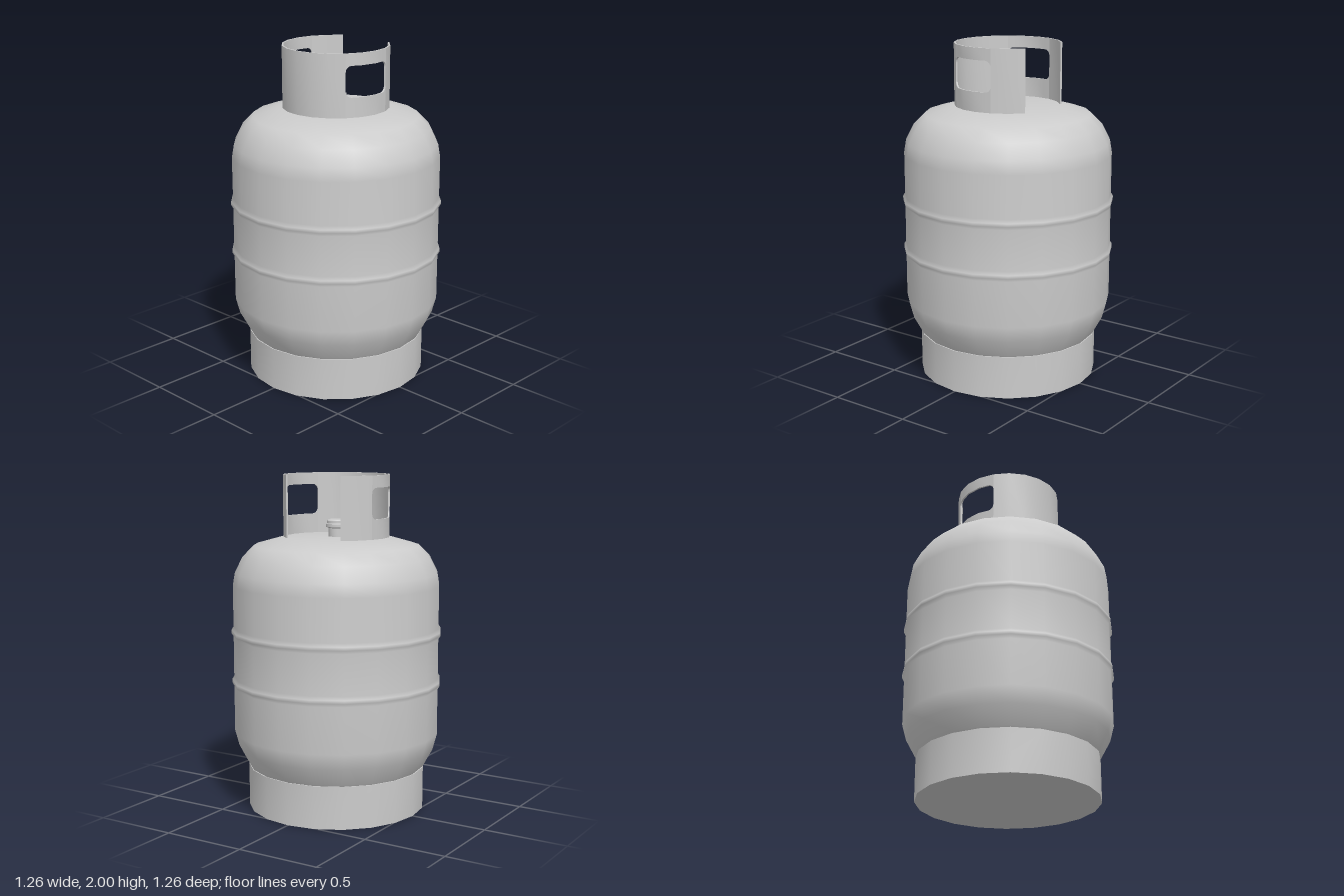
import * as THREE from 'three';
import { toCreasedNormals } from 'three/addons/utils/BufferGeometryUtils.js';

const SIDES = 20;
const STEP = 360 / SIDES;
const material = new THREE.MeshStandardMaterial({ color: 0xcccccc });

function addMesh(parent, name, geometry) {
  const mesh = new THREE.Mesh(geometry, material);
  mesh.name = name;
  parent.add(mesh);
  return mesh;
}

function lathe(points, sides) {
  return new THREE.LatheGeometry(points.map(([r, y]) => new THREE.Vector2(r, y)), sides);
}

// Point on a faceted ring: the radius shrinks between polygon corners
function ringPoint(deg, radius, y) {
  const half = THREE.MathUtils.degToRad(STEP / 2);
  const local = THREE.MathUtils.degToRad(((deg % STEP) + STEP) % STEP) - half;
  const r = radius * Math.cos(half) / Math.cos(local);
  const a = THREE.MathUtils.degToRad(deg);
  return [r * Math.cos(a), y, r * Math.sin(a)];
}

// Curved band with a rectangular section; each column is [angle, low, high]
function band(columns, inner, outer) {
  const positions = [];
  const index = [];
  columns.forEach(([deg, low, high]) => {
    positions.push(...ringPoint(deg, outer, low), ...ringPoint(deg, outer, high),
      ...ringPoint(deg, inner, high), ...ringPoint(deg, inner, low));
  });
  for (let i = 0; i < columns.length - 1; i++) {
    for (let k = 0; k < 4; k++) {
      const a = i * 4 + k, b = i * 4 + (k + 1) % 4;
      index.push(a, b, b + 4, a, b + 4, a + 4);
    }
  }
  const e = (columns.length - 1) * 4;
  index.push(0, 2, 1, 0, 3, 2, e, e + 1, e + 2, e, e + 2, e + 3);
  const geometry = new THREE.BufferGeometry();
  geometry.setAttribute('position', new THREE.Float32BufferAttribute(positions, 3));
  geometry.setIndex(index);
  return toCreasedNormals(geometry, 0.6);
}

export function createModel() {
  const group = new THREE.Group();

  // Tank with domed top and two raised seams
  const seam = (y) => [[0.617, y - 0.03], [0.629, y - 0.01], [0.629, y + 0.01], [0.617, y + 0.03]];
  addMesh(group, 'tank', lathe([
    [0.515, 0.24], [0.535, 0.265], [0.592, 0.37], [0.617, 0.465],
    ...seam(0.77), ...seam(1.07),
    [0.617, 1.35], [0.604, 1.425], [0.558, 1.517], [0.49, 1.586], [0.315, 1.635], [0, 1.635],
  ], SIDES));

  // Foot ring, closed underneath
  const foot = addMesh(group, 'footRing',
    toCreasedNormals(new THREE.CylinderGeometry(0.533, 0.533, 0.255, SIDES), 0.6));
  foot.position.y = 0.1275;

  // Valve
  addMesh(group, 'valve', toCreasedNormals(lathe([
    [0.048, 1.63], [0.048, 1.685], [0.064, 1.692], [0.064, 1.71],
    [0.058, 1.713], [0.058, 1.728], [0.052, 1.735], [0, 1.735],
  ], SIDES), 0.6));

  // Guard collar, open towards +x, with a rounded handle window front and back
  const collar = new THREE.Group();
  collar.name = 'guardCollar';
  group.add(collar);
  const base = 1.63, top = 2, inner = 0.305, outer = 0.315;
  const winLow = 1.75, winHigh = 1.93, corner = 0.035, start = 72, end = 126;
  const cornerDeg = THREE.MathUtils.radToDeg(corner / outer);

  const solid = (name, from, to) => {
    const columns = [];
    for (let d = from; d <= to; d += STEP) columns.push([d, base, top]);
    addMesh(collar, name, band(columns, inner, outer));
  };
  solid('frontEndPanel', 36, start);
  solid('sidePanel', end, 360 - end);
  solid('backEndPanel', 360 - start, 324);

  // Window outline: [angle, corner rise] pairs
  const outline = [];
  for (let i = 0; i <= 5; i++) {
    const t = i / 5 * Math.PI / 2;
    outline.push([start + cornerDeg * (1 - Math.cos(t)), corner * (1 - Math.sin(t))]);
  }
  outline.push([90, 0], [108, 0]);
  for (let i = 5; i >= 0; i--) {
    const t = i / 5 * Math.PI / 2;
    outline.push([end - cornerDeg * (1 - Math.cos(t)), corner * (1 - Math.sin(t))]);
  }
  const mirrored = outline.map(([d, rise]) => [360 - d, rise]).reverse();
  for (const [side, edge] of [['front', outline], ['back', mirrored]]) {
    addMesh(collar, side + 'LowerRail',
      band(edge.map(([d, rise]) => [d, base, winLow + rise]), inner, outer));
    addMesh(collar, side + 'Handle',
      band(edge.map(([d, rise]) => [d, winHigh - rise, top]), inner, outer));
  }

  return group;
}
